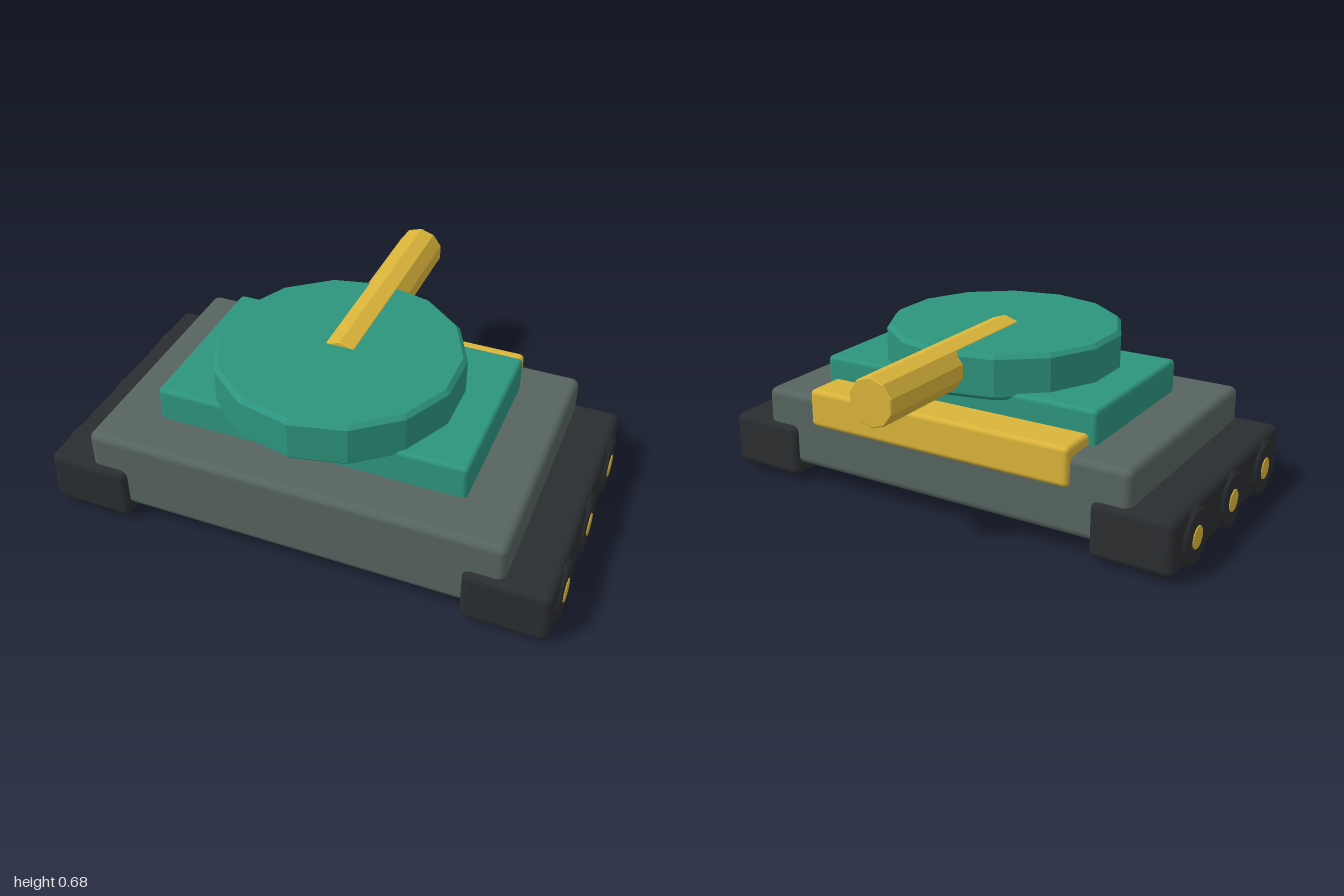
import * as THREE from 'three';
import { RoundedBoxGeometry } from 'three/addons/geometries/RoundedBoxGeometry.js';

const paint = (color, flatShading = false) => new THREE.MeshStandardMaterial({ color, flatShading });

// Box with softened edges, given by its extents on each axis
function softBox(name, [x0, x1], [y0, y1], [z0, z1], bevel, material) {
  const mesh = new THREE.Mesh(new RoundedBoxGeometry(x1 - x0, y1 - y0, z1 - z0, 2, bevel), material);
  mesh.position.set((x0 + x1) / 2, (y0 + y1) / 2, (z0 + z1) / 2);
  mesh.name = name;
  return mesh;
}

// Upright faceted disc or rod with chamfered rims, centred on its axis
function prism(radius, height, sides, bevel) {
  const h = height / 2;
  return new THREE.LatheGeometry([
    [0, -h], [radius - bevel, -h], [radius, -h + bevel],
    [radius, h - bevel], [radius - bevel, h], [0, h],
  ].map(([x, y]) => new THREE.Vector2(x, y)), sides);
}

function addMesh(parent, name, geometry, material, x, y, z) {
  const mesh = new THREE.Mesh(geometry, material);
  mesh.name = name;
  mesh.position.set(x, y, z);
  parent.add(mesh);
}

export function createModel() {
  const model = new THREE.Group();
  model.name = 'tank';
  const grey = paint(0x56645f);
  const green = paint(0x2d957d);
  const greenFlat = paint(0x2d957d, true);
  const gold = paint(0xdab43a);
  const goldFlat = paint(0xdab43a, true);
  const black = paint(0x2a2d30);
  const blackFlat = paint(0x2a2d30, true);

  // Hull, raised deck and rear stowage box
  model.add(
    softBox('hull', [-0.81, 0.81], [0.08, 0.385], [-0.34, 0.69], 0.03, grey),
    softBox('upperDeck', [-0.605, 0.605], [0.34, 0.517], [-0.2, 0.5], 0.018, green),
    softBox('rearBox', [-0.575, 0.575], [0.27, 0.425], [-0.36, -0.17], 0.02, gold),
  );

  // Turret and rear-facing barrel
  addMesh(model, 'turret', prism(0.472, 0.176, 14, 0.016), greenFlat, 0, 0.577, 0.182);
  addMesh(model, 'barrel', prism(0.093, 0.9, 10, 0.004).rotateX(-Math.PI / 2), goldFlat, 0, 0.592, -0.265);

  // Tracks with three wheels and hubs on each side
  const wheelGeometry = prism(0.115, 0.27, 20, 0.012).rotateZ(-Math.PI / 2);
  const hubGeometry = prism(0.045, 0.1, 14, 0.003).rotateZ(-Math.PI / 2);
  for (const [side, s] of [['left', 1], ['right', -1]]) {
    const track = new THREE.Group();
    track.name = side + 'Track';
    const xs = s > 0 ? [0.66, 0.985] : [-0.985, -0.66];
    track.add(softBox('trackBody', xs, [0.025, 0.245], [-0.36, 0.715], 0.03, black));
    for (const z of [0.532, 0.18, -0.174]) {
      addMesh(track, 'wheel', wheelGeometry, blackFlat, s * 0.861, 0.118, z);
      addMesh(track, 'hub', hubGeometry, goldFlat, s * 0.95, 0.118, z);
    }
    model.add(track);
  }
  return model;
}
